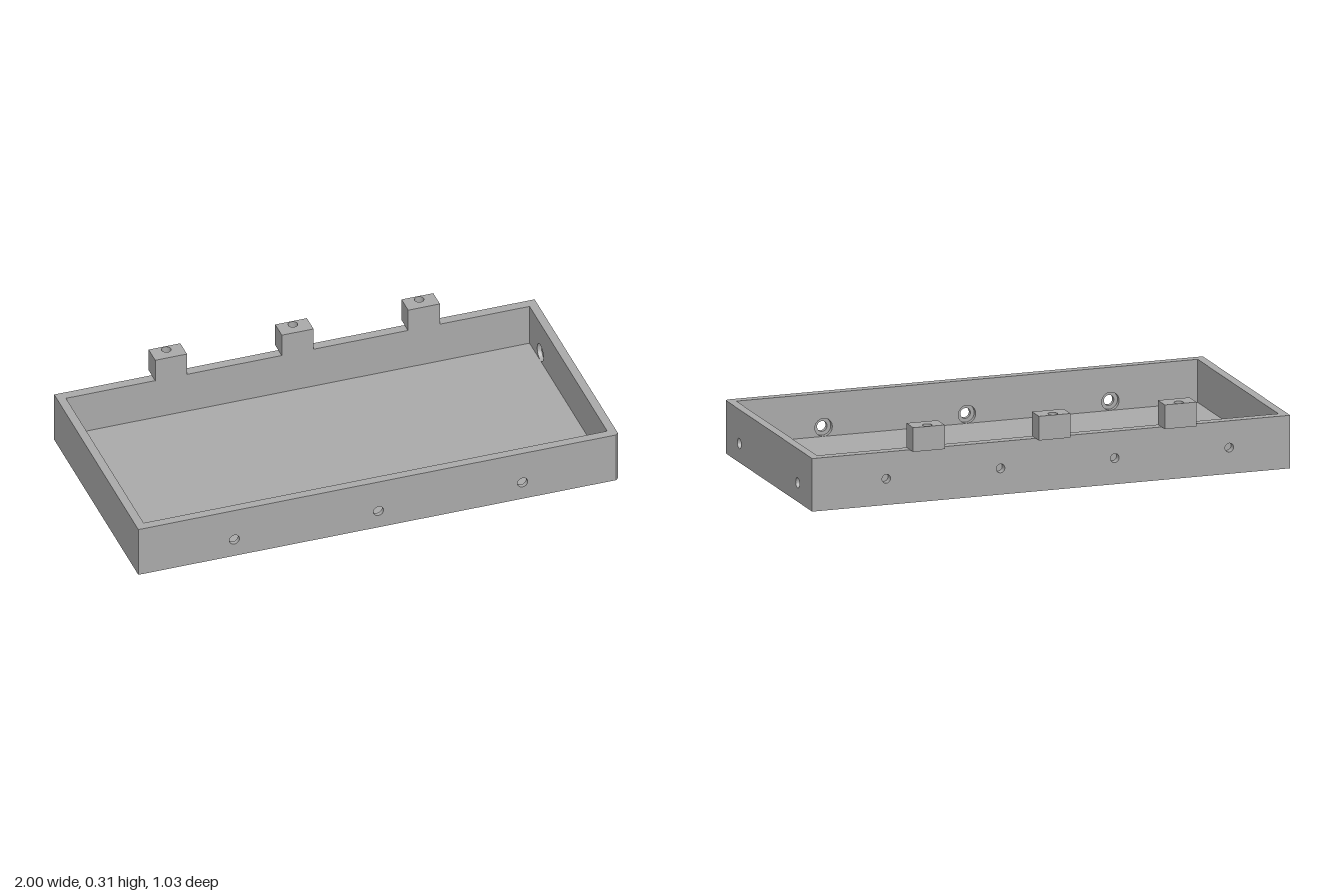
import * as THREE from 'three';
import { mergeGeometries } from 'three/addons/utils/BufferGeometryUtils.js';

const H = 0.215, FLOOR = 0.04;               // tray height, floor thickness
const BACK = -0.48, FRONT = 0.517;           // outer z limits
const IN_X = 0.965, IN_BACK = -0.44, IN_FRONT = 0.48; // inner limits
const CH = 0.011;                            // chamfer of one front corner
const P = Math.PI;

function polygon(points) {
  return new THREE.Shape(points.map(([x, y]) => new THREE.Vector2(x, y)));
}
const rect = (u0, u1, v0, v1) => polygon([[u0, v0], [u1, v0], [u1, v1], [u0, v1]]);

// Turn a geometry drawn facing +z onto the wanted side, at a distance along its normal
function place(geo, dist, rx, ry) {
  return geo.translate(0, 0, dist).rotateX(rx).rotateY(ry);
}

// Flat face with round holes given as [u, v, radius]
function face(shape, dist, rx = 0, ry = 0, holes = []) {
  for (const [u, v, r] of holes) shape.holes.push(new THREE.Path().absarc(u, v, r, 0, 2 * P, true));
  return place(new THREE.ShapeGeometry(shape, 16), dist, rx, ry).toNonIndexed();
}

// Hole lining turned from a profile of [radius, -depth]
function bore(u, v, profile, dist, rx = 0, ry = 0) {
  const pts = profile.map(([r, y]) => new THREE.Vector2(r, y));
  const geo = new THREE.LatheGeometry(pts, 32).rotateX(P / 2).translate(u, v, 0);
  const flat = place(geo, dist, rx, ry).toNonIndexed();
  flat.computeVertexNormals();
  return flat;
}

export function createModel() {
  const model = new THREE.Group();
  const grey = new THREE.MeshStandardMaterial({ color: 0xa8a8a8, side: THREE.DoubleSide });
  const add = (name, geos) => {
    const mesh = new THREE.Mesh(mergeGeometries(geos), grey);
    mesh.name = name;
    model.add(mesh);
  };

  const R = 0.021, CB = 0.0365, HY = 0.077;  // screw hole, counterbore, hole height
  const stepped = (t) => [[R, 0], [R, -t / 2], [CB, -t / 2], [CB, -t]];
  const frontX = [-0.6, 0, 0.6];
  const sideZ = [0.352, -0.313];
  const backX = [0.69, 0.212, -0.266, -0.745];

  // Front wall with counterbored holes
  add('frontWall', [
    face(rect(-1, 1 - CH, 0, H), FRONT, 0, 0, frontX.map((x) => [x, HY, R])),
    face(rect(-IN_X, IN_X, FLOOR, H), -IN_FRONT, 0, P, frontX.map((x) => [-x, HY, CB])),
    ...frontX.map((x) => bore(x, HY, stepped(FRONT - IN_FRONT), FRONT)),
  ]);

  // Left wall with counterbored holes
  add('leftWall', [
    face(rect(-FRONT + CH, -BACK, 0, H), 1, 0, P / 2, sideZ.map((z) => [-z, HY, R])),
    face(rect(IN_BACK, IN_FRONT, FLOOR, H), -IN_X, 0, -P / 2, sideZ.map((z) => [z, HY, CB])),
    ...sideZ.map((z) => bore(-z, HY, stepped(1 - IN_X), 1, 0, P / 2)),
  ]);

  // Plain right wall
  add('rightWall', [
    face(rect(BACK, FRONT, 0, H), 1, 0, -P / 2),
    face(rect(-IN_FRONT, -IN_BACK, FLOOR, H), -IN_X, 0, P / 2),
  ]);

  // Back wall with blind holes on its outside
  const backY = 0.106, backR = 0.018;
  add('backWall', [
    face(rect(-1, 1, 0, H), -BACK, 0, P, backX.map((x) => [-x, backY, backR])),
    face(rect(-IN_X, IN_X, FLOOR, H), IN_BACK),
    ...backX.map((x) => bore(-x, backY, [[backR, 0], [backR, -0.03], [0, -0.03]], -BACK, 0, P)),
  ]);

  // Small chamfer on the front left corner
  const mid = (1 + FRONT - CH) / Math.SQRT2;
  const u = (1 - FRONT) / Math.SQRT2, half = CH / Math.SQRT2;
  add('cornerChamfer', [face(rect(u - half, u + half, 0, H), mid, 0, P / 4)]);

  // Floor, underside and top rim
  const outline = (s) => polygon([[-1, s * BACK], [1, s * BACK], [1, s * (FRONT - CH)],
    [1 - CH, s * FRONT], [-1, s * FRONT]]);
  const rim = outline(-1);
  rim.holes.push(rect(-IN_X, IN_X, -IN_FRONT, -IN_BACK));
  add('floor', [
    face(rect(-IN_X, IN_X, -IN_FRONT, -IN_BACK), FLOOR, -P / 2),
    face(outline(1), 0, P / 2),
  ]);
  add('topRim', [face(rim, H, -P / 2)]);

  // Three drilled blocks on the back rim
  const top = 0.313, z0 = -0.517, z1 = -0.438, w = 0.066, holeZ = -0.495, r = 0.019;
  for (const x of [-0.528, -0.001, 0.525]) {
    add('mountingBlock', [
      face(rect(x - w, x + w, H, top), z1),
      face(rect(-x - w, -x + w, H, top), -z0, 0, P),
      face(rect(-z1, -z0, H, top), x + w, 0, P / 2),
      face(rect(z0, z1, H, top), w - x, 0, -P / 2),
      face(rect(x - w, x + w, z0, z1), -H, P / 2),
      face(rect(x - w, x + w, -z1, -z0), top, -P / 2, 0, [[x, -holeZ, r]]),
      bore(x, -holeZ, [[r, 0], [r, -0.06], [0, -0.06]], top, -P / 2),
    ]);
  }
  return model;
}
